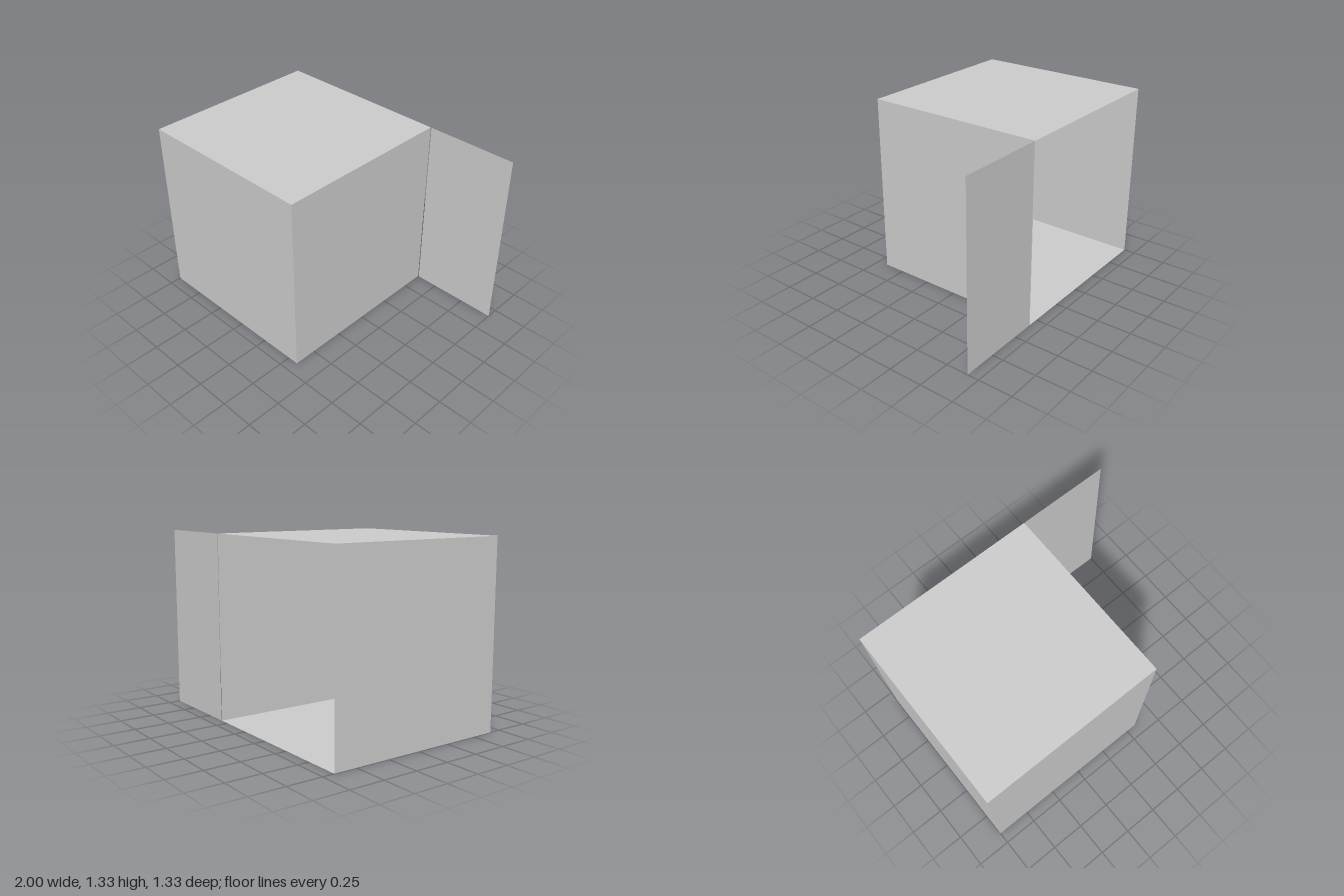
import * as THREE from 'three';

const H = 1.33;                 // height and depth of the box
const L = -1, R = 0.328;        // box sides in x
const W = R - L, CX = (L + R) / 2, D = H / 2;

export function createModel() {
  const model = new THREE.Group();
  model.name = 'openBox';
  const material = new THREE.MeshStandardMaterial({
    color: 0xcccccc, side: THREE.DoubleSide, flatShading: true,
  });

  // Thin flat panel, placed by its centre and turned about x or y
  function panel(name, width, height, position, rx = 0, ry = 0) {
    const mesh = new THREE.Mesh(new THREE.PlaneGeometry(width, height), material);
    mesh.name = name;
    mesh.position.set(...position);
    mesh.rotation.set(rx, ry, 0);
    model.add(mesh);
  }

  const q = Math.PI / 2;
  // Box shell, open at the back
  panel('frontWall', W, H, [CX, H / 2, D]);
  panel('leftWall', H, H, [R, H / 2, 0], 0, q);
  panel('rightWall', H, H, [L, H / 2, 0], 0, -q);
  panel('roof', W, H, [CX, H, 0], -q);
  panel('floor', W, H, [CX, 0, 0], q);

  // Door swung fully open, with a hairline gap at its hinge side
  const hinge = R + 0.006;
  panel('door', 1 - hinge, H, [(1 + hinge) / 2, H / 2, -D], 0, Math.PI);

  return model;
}
